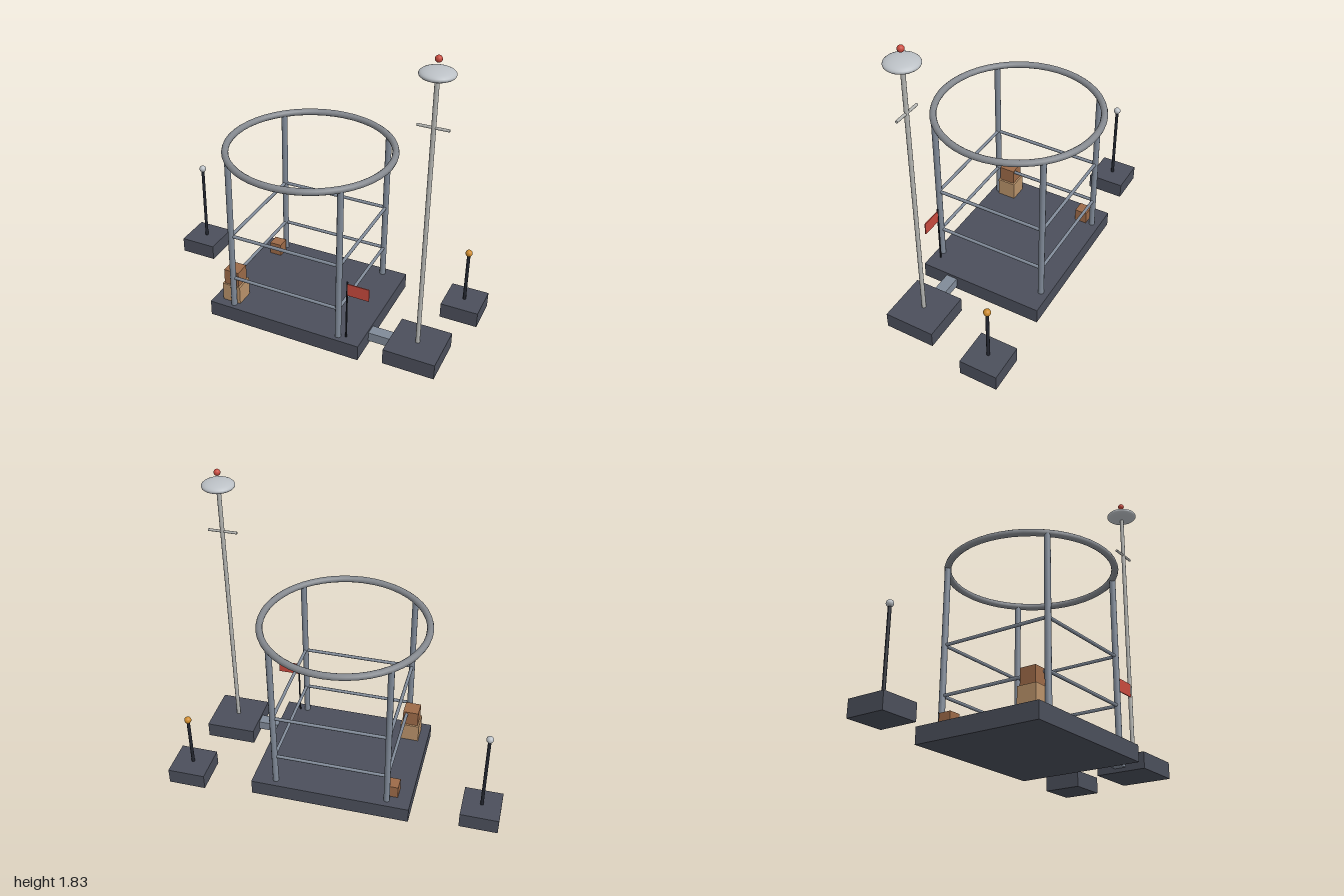
import * as THREE from 'three';

function material(name, color) {
  const m = new THREE.MeshStandardMaterial({ color });
  m.name = name;
  return m;
}

export function createModel() {
  const slate = material('dark slate', 0x4b4f5b);
  const steel = material('blue steel', 0x808a98);
  const ringGrey = material('ring grey', 0x85898f);
  const pale = material('pale metal', 0xb4b5b2);
  const silver = material('silver', 0xbcc1c6);
  const black = material('near black', 0x22252e);
  const red = material('signal red', 0xc84a3e);
  const amber = material('amber', 0xcc8a2c);
  const tan = material('tan crate', 0xb9926a);
  const brown = material('brown crate', 0x9c6a48);

  const model = new THREE.Group();
  model.name = 'landingPlatform';

  function add(name, geometry, mat, x, y, z) {
    const mesh = new THREE.Mesh(geometry, mat);
    mesh.name = name;
    mesh.position.set(x, y, z);
    model.add(mesh);
    return mesh;
  }
  // Box standing on height y
  const box = (name, mat, w, h, d, x, y, z) =>
    add(name, new THREE.BoxGeometry(w, h, d), mat, x, y + h / 2, z);
  // Upright round bar from y0 to y1
  const pole = (name, mat, r, x, z, y0, y1) =>
    add(name, new THREE.CylinderGeometry(r, r, y1 - y0, 10), mat, x, (y0 + y1) / 2, z);
  // Level round bar along x or z
  function bar(name, mat, r, length, axis, x, y, z) {
    const mesh = add(name, new THREE.CylinderGeometry(r, r, length, 8), mat, x, y, z);
    if (axis === 'x') mesh.rotation.z = Math.PI / 2;
    else mesh.rotation.x = Math.PI / 2;
  }
  const ball = (name, mat, r, x, y, z) =>
    add(name, new THREE.SphereGeometry(r, 16, 12), mat, x, y, z);

  const deck = 0.096;

  // Slabs and the bridge between two of them
  box('mainDeck', slate, 0.96, deck, 0.77, 0, 0, -0.005);
  box('leftPad', slate, 0.228, deck, 0.228, -0.886, 0, -0.235);
  box('rightPad', slate, 0.228, deck, 0.228, 0.886, 0, -0.312);
  box('antennaPad', slate, 0.306, deck, 0.306, 0.767, 0, 0.188);
  box('bridge', steel, 0.15, 0.057, 0.07, 0.547, 0.023, 0.187);

  // Tower frame with two levels of rails
  const p = 0.34;
  for (const sx of [-1, 1]) {
    for (const sz of [-1, 1]) pole('towerPost', steel, 0.018, sx * p, sz * p, deck, 1.06);
  }
  for (const y of [0.29, 0.58]) {
    for (const s of [-1, 1]) {
      bar('crossRail', steel, 0.01, 2 * p, 'x', 0, y, s * p);
      bar('sideRail', steel, 0.01, 2 * p, 'z', s * p, y, 0);
    }
  }
  const ring = add('topRing', new THREE.TorusGeometry(0.48, 0.02, 10, 48), ringGrey, 0, 1.063, 0);
  ring.rotation.x = Math.PI / 2;

  // Crates
  box('largeCrate', tan, 0.115, 0.115, 0.115, -0.366, deck, 0.267);
  box('stackedCrate', brown, 0.095, 0.096, 0.095, -0.367, 0.211, 0.268);
  box('smallCrate', brown, 0.076, 0.078, 0.076, -0.362, deck, -0.268);

  // Flag
  pole('flagPole', black, 0.005, 0.385, 0.327, deck, 0.48);
  box('flag', red, 0.13, 0.077, 0.006, 0.451, 0.39, 0.327);

  // Antenna mast with dish and beacon
  pole('antennaMast', pale, 0.0125, 0.767, 0.19, deck, 1.72);
  bar('antennaCrossbar', pale, 0.008, 0.172, 'x', 0.765, 1.447, 0.19);
  const dish = add('antennaDish', new THREE.SphereGeometry(0.094, 28, 14), silver, 0.767, 1.735, 0.19);
  dish.scale.y = 0.32;
  ball('beacon', red, 0.019, 0.767, 1.811, 0.19);

  // Lamp masts
  pole('leftLampMast', black, 0.01, -0.886, -0.235, deck, 0.59);
  ball('leftLamp', silver, 0.021, -0.886, 0.6, -0.235);
  pole('rightLampMast', black, 0.01, 0.884, -0.31, deck, 0.42);
  ball('rightLamp', amber, 0.021, 0.884, 0.427, -0.31);

  return model;
}
